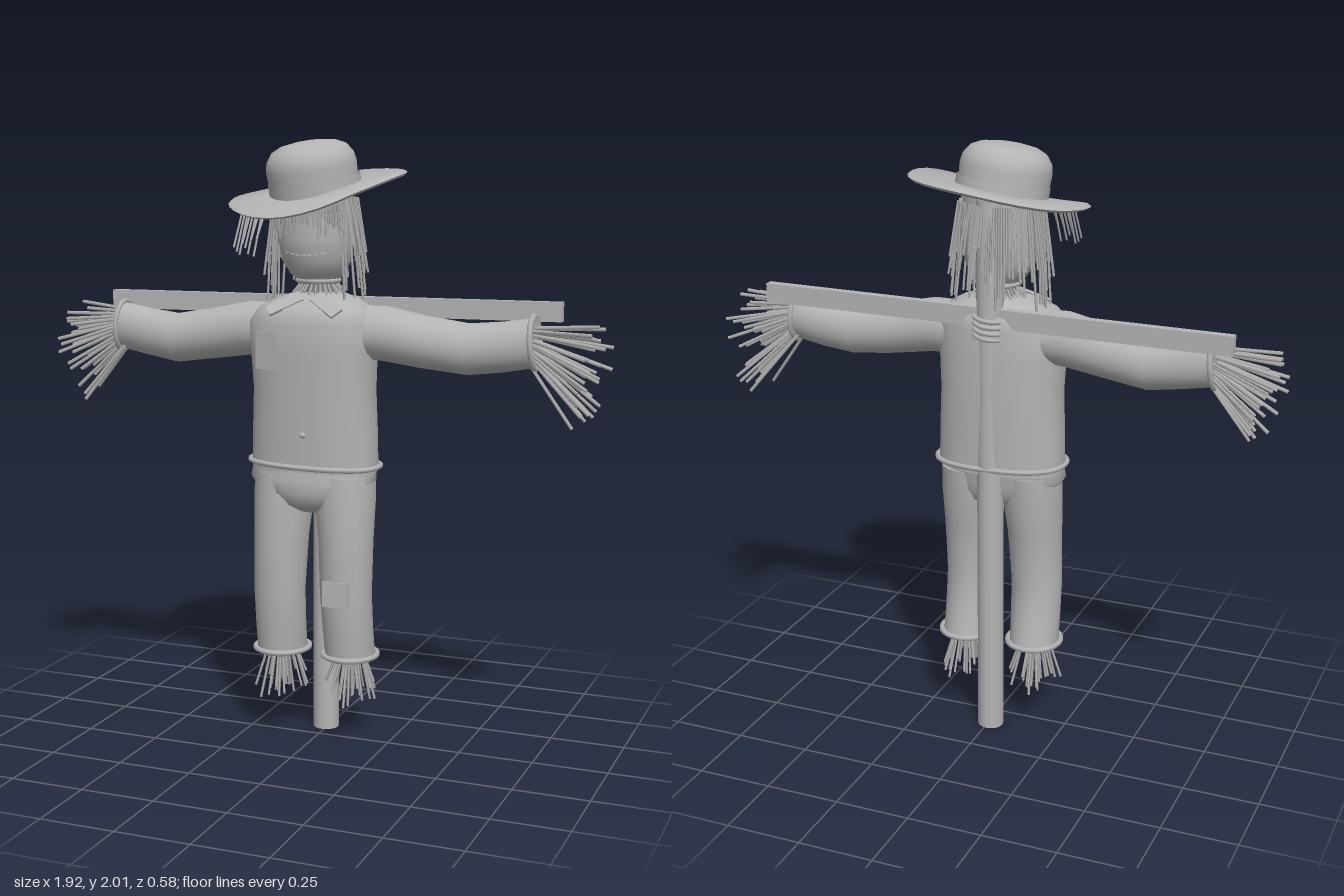
import * as THREE from 'three';
import { mergeGeometries, toCreasedNormals } from 'three/addons/utils/BufferGeometryUtils.js';

const V = (x, y, z) => new THREE.Vector3(x, y, z);

// Closed skin through elliptical rings [position, centre1, centre2, radius1, radius2].
// axis 'y': centres and radii are x, z. axis 'x': they are y, z. Rings ascend.
function loft(axis, rings, p = 2, n = 24) {
  const pos = [], idx = [];
  const pow = (v) => Math.sign(v) * Math.abs(v) ** (2 / p);
  const put = (t, a, b) => (axis === 'y' ? pos.push(a, t, b) : pos.push(t, a, b));
  for (const [t, c1, c2, r1, r2] of rings) {
    for (let j = 0; j < n; j++) {
      const w = (j / n) * Math.PI * 2;
      const c = pow(Math.cos(w)), s = pow(Math.sin(w));
      if (axis === 'y') put(t, c1 + c * r1, c2 + s * r2);
      else put(t, c1 + s * r1, c2 + c * r2);
    }
  }
  const m = rings.length, last = rings[m - 1], first = rings[0];
  put(first[0], first[1], first[2]);
  put(last[0], last[1], last[2]);
  for (let j = 0; j < n; j++) {
    const k = (j + 1) % n;
    for (let i = 0; i < m - 1; i++) {
      const a = i * n + j, b = i * n + k;
      idx.push(a, a + n, b, b, a + n, b + n);
    }
    idx.push(m * n, j, k, m * n + 1, (m - 1) * n + k, (m - 1) * n + j);
  }
  const g = new THREE.BufferGeometry();
  g.setAttribute('position', new THREE.Float32BufferAttribute(pos, 3));
  g.setIndex(idx);
  return toCreasedNormals(g, 0.9);
}

// Elliptical rope loop around an axis
function loop(axis, c, r1, r2, thick, p = 2, tilt = 0) {
  const pow = (v) => Math.sign(v) * Math.abs(v) ** (2 / p);
  const pts = [];
  for (let i = 0; i < 24; i++) {
    const w = (i / 24) * Math.PI * 2, a = pow(Math.cos(w)) * r1, b = pow(Math.sin(w)) * r2;
    pts.push(axis === 'y' ? V(c.x + a, c.y + a * tilt, c.z + b) : V(c.x + a * tilt, c.y + a, c.z + b));
  }
  return new THREE.TubeGeometry(new THREE.CatmullRomCurve3(pts, true), 48, thick, 6, true);
}

// Thin straw between two points
function straw(a, b, r) {
  const d = b.clone().sub(a);
  const g = new THREE.CylinderGeometry(r, r, d.length(), 4);
  g.applyQuaternion(new THREE.Quaternion().setFromUnitVectors(V(0, 1, 0), d.normalize()));
  return g.translate((a.x + b.x) / 2, (a.y + b.y) / 2, (a.z + b.z) / 2);
}

export function createModel() {
  const model = new THREE.Group();
  const grey = new THREE.MeshStandardMaterial({ color: 0xb4b4b4 });
  grey.name = 'plain grey';
  const thinGrey = grey;
  thinGrey.side = THREE.DoubleSide;
  const add = (name, geo, x = 0, y = 0, z = 0, rx = 0, ry = 0, rz = 0) => {
    const mesh = new THREE.Mesh(geo, grey);
    mesh.name = name;
    mesh.position.set(x, y, z);
    mesh.rotation.set(rx, ry, rz);
    model.add(mesh);
    return mesh;
  };
  let seed = 7;
  const rnd = (lo, hi) => {
    seed = (seed * 16807) % 2147483647;
    return lo + (hi - lo) * (seed / 2147483647);
  };

  // Wooden frame with rope lashing
  add('pole', new THREE.CylinderGeometry(0.044, 0.044, 1.84, 16), -0.008, 0.92, -0.088);
  add('crossbar', new THREE.BoxGeometry(1.6, 0.063, 0.03), -0.01, 1.462, -0.1, 0, 0, 0.006);
  for (let i = 0; i < 4; i++) {
    add('lashing', loop('y', V(-0.008, 1.4 + i * 0.02, -0.09), 0.05, 0.055, 0.008, 2, 0.15));
  }

  // Jacket
  add('jacket', loft('y', [
    [0.93, -0.01, 0.008, 0.215, 0.128], [1.06, -0.01, 0.01, 0.212, 0.134],
    [1.2, -0.01, 0.012, 0.206, 0.14], [1.33, -0.01, 0.018, 0.212, 0.145],
    [1.42, -0.01, 0.02, 0.215, 0.145], [1.465, -0.003, 0.017, 0.19, 0.137],
    [1.495, 0, 0.01, 0.135, 0.105], [1.515, 0, 0, 0.075, 0.07],
  ], 2.4, 28));
  add('belt', loop('y', V(-0.01, 0.95, 0.008), 0.222, 0.132, 0.009, 2.4, -0.02));
  add('chestPatch', new THREE.BoxGeometry(0.085, 0.12, 0.009), -0.122, 1.33, 0.15, 0, -0.25, 0);
  add('button', new THREE.SphereGeometry(0.01, 10, 8), 0, 1.06, 0.143);

  // Collar flaps, sleeves, cuffs and straw hands
  for (const s of [-1, 1]) {
    add('collarFlap', new THREE.BoxGeometry(0.12, 0.045, 0.009),
      s * 0.072 + 0.003, 1.483, 0.128, -0.85, 0, -s * 0.65);
    const drop = s < 0 ? 0.005 : 0;
    const rings = [
      [0.1, 1.39, 0.005, 0.085, 0.09], [0.23, 1.387, 0.003, 0.09, 0.086],
      [0.37, 1.363, -0.005, 0.086, 0.083], [0.51, 1.346 - drop, -0.013, 0.083, 0.075],
      [0.62, 1.357, -0.018, 0.081, 0.067], [0.725, 1.375, -0.02, 0.08, 0.06],
    ].map(([t, ...r]) => [s * t - (s < 0 ? 0.01 : 0), ...r]);
    add('sleeve', loft('x', s < 0 ? rings.reverse() : rings));
    add('sleeveCuff', loop('x', V(s * 0.727 - 0.005, 1.375, -0.02), 0.084, 0.066, 0.009, 2, -s * 0.06));
    const hand = [];
    for (let i = 0; i < 34; i++) {
      const u = i / 33, w = rnd(-1, 1), len = rnd(0.17, 0.25);
      const ang = 0.1 - u * 1.05;
      const from = V(s * 0.69, 1.42 - u * 0.085, -0.02 + w * 0.035);
      const to = V(s * (0.73 + len * Math.cos(ang) * 0.95), from.y - 0.01 + len * Math.sin(ang) * 1.15, -0.03 + w * 0.11);
      hand.push(straw(from, to, 0.006));
    }
    add('strawHand', mergeGeometries(hand));
  }

  // Trousers
  add('trouserSeat', loft('y', [
    [0.795, 0.01, 0.025, 0.07, 0.07], [0.82, 0.005, 0.023, 0.125, 0.105],
    [0.86, -0.01, 0.022, 0.19, 0.12], [0.9, -0.012, 0.02, 0.215, 0.123], [0.95, -0.01, 0.01, 0.21, 0.123],
  ], 2.3));
  for (const s of [-1, 1]) {
    const o = s < 0 ? -0.012 : 0;
    add('trouserLeg', loft('y', [
      [0.3, s * 0.117 + o, 0.01, 0.083, 0.092], [0.4, s * 0.115 + o, 0.028, 0.085, 0.088],
      [0.52, s * 0.113 + o, 0.042, 0.087, 0.086], [0.7, s * 0.109 + o, 0.032, 0.091, 0.1],
      [0.84, s * 0.103 + o, 0.021, 0.1, 0.114], [0.92, s * 0.1 + o, 0.015, 0.1, 0.115],
    ]));
    add('trouserCuff', loop('y', V(s * 0.117 + o, 0.302, 0.01), 0.09, 0.097, 0.01));
    const foot = [];
    for (let i = 0; i < 32; i++) {
      const a = rnd(0, 6.28), q = Math.sqrt(rnd(0, 1)), x = Math.cos(a) * q, z = Math.sin(a) * q;
      const c = s * 0.12 + o;
      foot.push(straw(V(c + x * 0.04, 0.32, 0.01 + z * 0.045),
        V(c + x * 0.09, rnd(0.13, 0.2), 0.01 + z * 0.1), 0.0045));
    }
    add('strawFoot', mergeGeometries(foot));
  }
  add('kneePatch', new THREE.BoxGeometry(0.09, 0.085, 0.009), 0.11, 0.532, 0.129);

  // Sack head, neck frill and stitched mouth
  add('head', loft('y', [
    [1.5, 0, 0, 0.05, 0.05], [1.55, 0, 0.005, 0.06, 0.06], [1.575, 0, 0.01, 0.09, 0.085],
    [1.62, -0.003, 0.012, 0.115, 0.11], [1.69, -0.004, 0.014, 0.125, 0.122],
    [1.77, -0.004, 0.012, 0.125, 0.12], [1.85, -0.005, 0.01, 0.12, 0.115],
  ]));
  add('neckRope', loop('y', V(0, 1.553, 0.005), 0.068, 0.066, 0.009));
  const frill = [];
  for (let i = 0; i < 28; i++) {
    const w = (i / 28) * Math.PI * 2, c = Math.cos(w), z = Math.sin(w);
    frill.push(straw(V(c * 0.055, 1.55, z * 0.055), V(c * 0.085, rnd(1.49, 1.52), z * 0.085), 0.004));
  }
  add('neckFrill', mergeGeometries(frill));
  for (let i = 0; i < 7; i++) {
    const x = -0.062 + i * 0.02;
    add('mouthStitch', new THREE.BoxGeometry(0.014, 0.006, 0.008),
      x, 1.64 + (i - 3) ** 2 * 0.0008, 0.013 + 0.114 * Math.sqrt(1 - (x / 0.119) ** 2), 0, x * 5, 0.1);
  }

  // Straw hair: long at the sides and back, short fringe in front
  const hair = [];
  for (let i = 0; i < 110; i++) {
    const w = (i / 110) * Math.PI * 2, c = Math.cos(w), z = Math.sin(w);
    const front = z > 0.55, r = rnd(0.128, 0.14), out = rnd(1.05, 1.28);
    const end = front ? rnd(1.69, 1.74) : rnd(1.47, 1.68) - 0.02 * (c < 0) + 0.04 * Math.max(0, -z);
    const k = front ? 1.03 : out;
    hair.push(straw(V(c * r - 0.01, 1.82, z * r + 0.008), V(c * r * k - 0.01, end, z * r * k * 0.97), 0.0042));
  }
  for (let i = 0; i < 9; i++) {
    const x = -0.2 + i * 0.012, z = 0.2 + i * 0.005;
    hair.push(straw(V(x + 0.012, 1.78, z - 0.015), V(x, rnd(1.64, 1.7), z + 0.028), 0.004));
  }
  add('strawHair', mergeGeometries(hair));

  // Hat: warped tilted brim, rounded crown and band
  const brim = new THREE.LatheGeometry([
    [0.001, -0.008], [0.14, -0.008], [0.28, -0.008], [0.29, 0], [0.28, 0.008], [0.14, 0.008], [0.001, 0.008],
  ].map(([x, y]) => new THREE.Vector2(x, y)), 32);
  const p = brim.attributes.position;
  for (let i = 0; i < p.count; i++) {
    const x = p.getX(i), z = p.getZ(i), r = Math.hypot(x, z), w = Math.atan2(z, x);
    const f = 1 - 0.05 * (r / 0.29) * Math.exp(-(((w - 0.85) / 0.2) ** 2));
    const lift = 0.14 * x - 0.19 * z + (r / 0.29) ** 2 * (0.012 * Math.cos(2 * w) + 0.008 * Math.sin(3 * w));
    p.setXYZ(i, x * f - 0.004, p.getY(i) + 1.842 + lift, z * f);
  }
  brim.computeVertexNormals();
  add('hatBrim', toCreasedNormals(brim, 0.9));
  const crown = new THREE.LatheGeometry([
    [0.146, -0.02], [0.145, 0.03], [0.148, 0.075], [0.142, 0.105], [0.122, 0.133], [0.09, 0.148], [0.045, 0.155], [0, 0.157],
  ].map(([x, y]) => new THREE.Vector2(x, y)), 32);
  add('hatCrown', crown, -0.012, 1.845, 0.008, 0.13, 0, 0.1);
  add('hatBand', new THREE.CylinderGeometry(0.15, 0.151, 0.035, 32, 1, true), -0.012, 1.865, 0.008, 0.15, 0, 0.11);
  return model;
}
